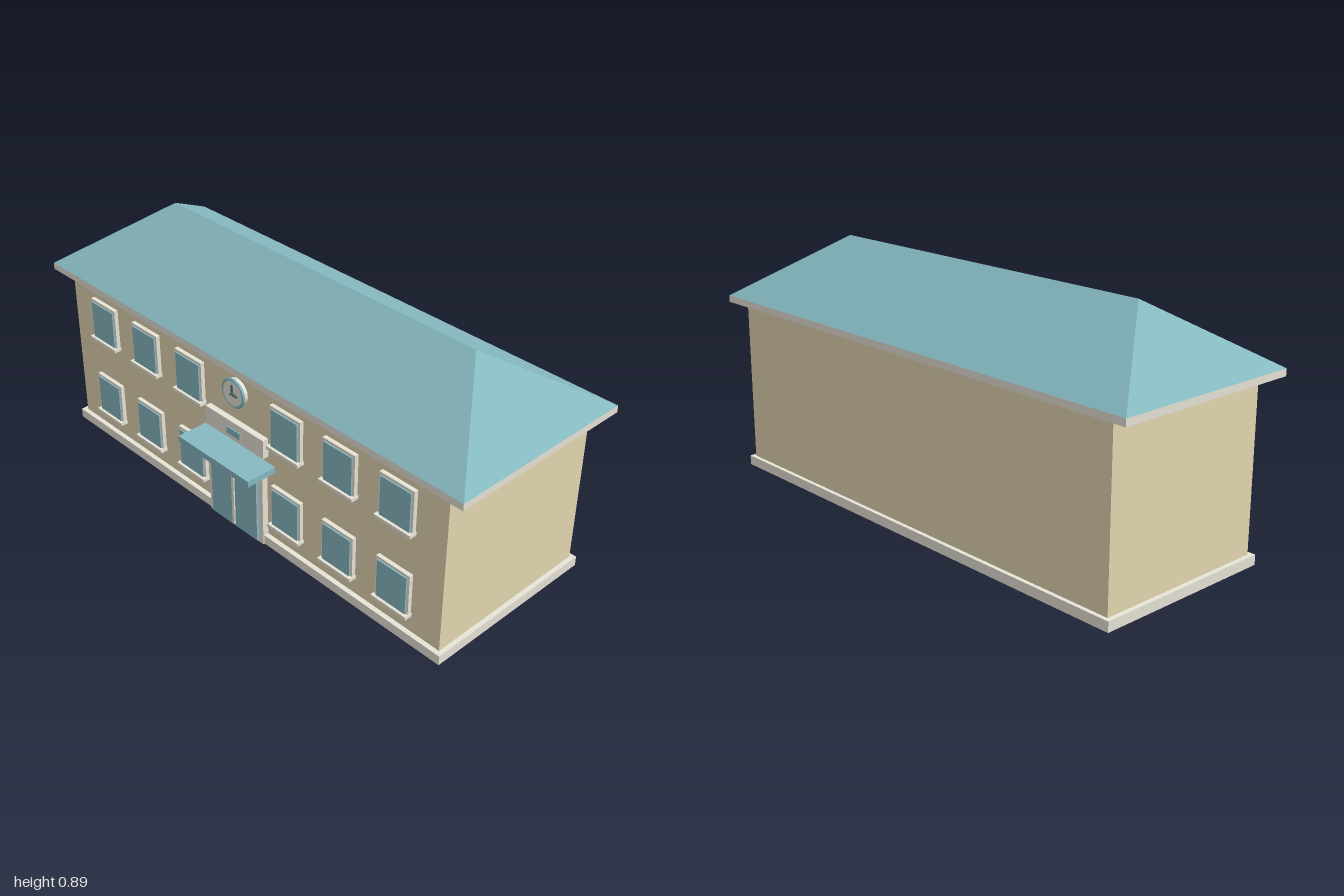
import * as THREE from 'three';

const mat = (name, color) => {
  const m = new THREE.MeshStandardMaterial({ color });
  m.name = name;
  return m;
};

export function createModel() {
  const model = new THREE.Group();
  model.name = 'schoolBuilding';
  const wall = mat('tanWall', 0xe4d7b1);
  const trim = mat('paleStone', 0xe8e4d8);
  const teal = mat('teal', 0x86b9c1);
  const dark = mat('darkTeal', 0x3f6167);

  const add = (parent, name, geometry, material) => {
    const mesh = new THREE.Mesh(geometry, material);
    mesh.name = name;
    parent.add(mesh);
    return mesh;
  };
  // Box given by its minimum and maximum on each axis
  const box = (parent, name, material, [x0, x1], [y0, y1], [z0, z1]) => {
    const mesh = add(parent, name, new THREE.BoxGeometry(x1 - x0, y1 - y0, z1 - z0), material);
    mesh.position.set((x0 + x1) / 2, (y0 + y1) / 2, (z0 + z1) / 2);
  };

  // Main block, plinth and eaves
  box(model, 'walls', wall, [-0.925, 0.925], [0, 0.65], [-0.372, 0.285]);
  box(model, 'plinth', trim, [-0.942, 0.942], [0.001, 0.037], [-0.387, 0.303]);
  box(model, 'eaves', trim, [-1, 1], [0.641, 0.666], [-0.405, 0.32]);

  // Hipped roof: four eave corners and two ridge ends
  const ridge = 0.715, zMid = -0.043;
  const p = [
    [-1, 0.666, 0.32], [1, 0.666, 0.32], [1, 0.666, -0.405], [-1, 0.666, -0.405],
    [-ridge, 0.89, zMid], [ridge, 0.89, zMid],
  ];
  const faces = [0, 1, 5, 0, 5, 4, 2, 3, 4, 2, 4, 5, 1, 2, 5, 3, 0, 4];
  const roof = new THREE.BufferGeometry();
  roof.setAttribute('position', new THREE.Float32BufferAttribute(faces.flatMap((i) => p[i]), 3));
  roof.computeVertexNormals();
  add(model, 'hippedRoof', roof, teal);

  // Two rows of six windows
  for (const y of [0.106, 0.428]) {
    for (const side of [-1, 1]) {
      for (const d of [0.244, 0.488, 0.732]) {
        const w = new THREE.Group();
        w.name = 'window';
        w.position.set(side * d, y, 0);
        box(w, 'windowFrame', trim, [-0.071, 0.071], [0, 0.16], [0.28, 0.3]);
        box(w, 'windowPane', teal, [-0.062, 0.062], [0.006, 0.15], [0.299, 0.305]);
        box(w, 'windowSill', trim, [-0.075, 0.075], [-0.006, 0.006], [0.28, 0.315]);
        model.add(w);
      }
    }
  }

  // Entrance: surround, double door, centre bar and canopy
  box(model, 'doorSurround', trim, [-0.14, 0.14], [0, 0.302], [0.28, 0.308]);
  box(model, 'doorLeaves', teal, [-0.118, 0.118], [0.01, 0.28], [0.3, 0.318]);
  box(model, 'doorCentreBar', trim, [-0.006, 0.006], [0.02, 0.268], [0.31, 0.323]);
  box(model, 'canopy', teal, [-0.18, 0.18], [0.316, 0.339], [0.28, 0.405]);

  // Panel above the entrance, with a plain inset plate
  box(model, 'signPanel', trim, [-0.147, 0.147], [0.365, 0.437], [0.28, 0.308]);
  box(model, 'signPlate', teal, [-0.034, 0.034], [0.384, 0.41], [0.306, 0.312]);

  // Clock
  const clock = new THREE.Group();
  clock.name = 'clock';
  clock.position.set(0, 0.554, 0);
  const disc = (name, material, r, z0, z1) => {
    const m = add(clock, name, new THREE.CylinderGeometry(r, r, z1 - z0, 40), material);
    m.rotation.x = Math.PI / 2;
    m.position.z = (z0 + z1) / 2;
  };
  disc('clockBody', trim, 0.05, 0.28, 0.308);
  const rim = add(clock, 'clockRim', new THREE.TorusGeometry(0.05, 0.006, 10, 40), teal);
  rim.position.z = 0.304;
  box(clock, 'minuteHand', dark, [-0.002, 0.002], [-0.003, 0.034], [0.307, 0.314]);
  const hour = new THREE.Group();
  hour.name = 'hourHand';
  hour.rotation.z = -1.75;
  box(hour, 'hourHandBar', dark, [-0.0025, 0.0025], [-0.003, 0.024], [0.307, 0.315]);
  clock.add(hour);
  disc('clockHub', dark, 0.004, 0.307, 0.318);
  model.add(clock);

  return model;
}
